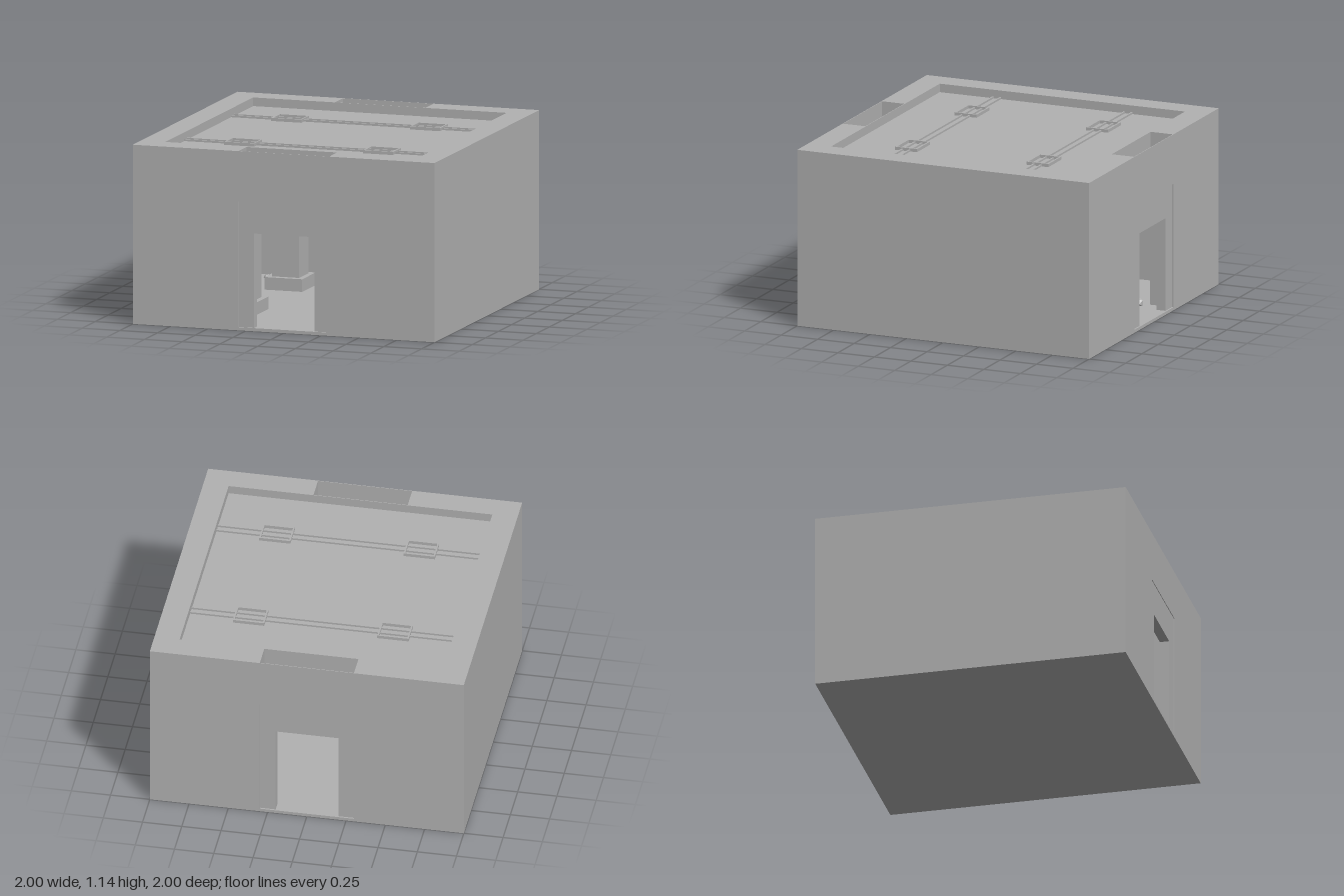
import * as THREE from 'three';

export function createModel() {
  const root = new THREE.Group();
  const concrete = new THREE.MeshStandardMaterial({ color: 0xb2b2b2 });

  const add = (name, geometry, x = 0, y = 0, z = 0, parent = root) => {
    const mesh = new THREE.Mesh(geometry, concrete);
    mesh.name = name;
    mesh.position.set(x, y, z);
    parent.add(mesh);
    return mesh;
  };
  const box = (name, w, h, d, x, y, z, parent) =>
    add(name, new THREE.BoxGeometry(w, h, d), x, y, z, parent);

  const H = 1.14, FLOOR = 0.02, INNER = 0.84, GAP = 0.3, LINTEL = 0.82, ROOF = 1.085;

  // floor slab
  box('floor', 2, FLOOR, 2, 0, FLOOR / 2, 0);

  // two C-shaped wall halves, leaving a gap for each doorway
  const plan = new THREE.Shape([
    [GAP, -1], [1, -1], [1, 1], [GAP, 1],
    [GAP, INNER], [INNER, INNER], [INNER, -INNER], [GAP, -INNER],
  ].map(([x, y]) => new THREE.Vector2(x, y)));
  const wall = new THREE.ExtrudeGeometry(plan, { depth: H - FLOOR, bevelEnabled: false });
  wall.rotateX(-Math.PI / 2);
  add('leftWall', wall, 0, FLOOR, 0);
  add('rightWall', wall, 0, FLOOR, 0).rotation.y = Math.PI;

  // roof slab sunk below the parapet
  box('roof', INNER * 2, 0.03, INNER * 2, 0, ROOF - 0.015, 0);

  // door frame outline with its opening
  const frame = new THREE.Shape([
    [-GAP, FLOOR], [-0.2, FLOOR], [-0.2, 0.62], [0.2, 0.62],
    [0.2, FLOOR], [GAP, FLOOR], [GAP, LINTEL], [-GAP, LINTEL],
  ].map(([x, y]) => new THREE.Vector2(x, y)));
  const frameGeo = new THREE.ExtrudeGeometry(frame, { depth: 0.06, bevelEnabled: false });

  // front and back doorways: thin frame, and a hollow lintel open at the top
  for (const [side, turn] of [['front', 0], ['back', Math.PI]]) {
    const door = new THREE.Group();
    door.name = side + 'Doorway';
    door.rotation.y = turn;
    root.add(door);
    add('doorFrame', frameGeo, 0, 0, 0.93, door);
    const h = H - LINTEL, y = LINTEL + h / 2;
    box('outerLintelSkin', GAP * 2, h, 0.004, 0, y, 0.998, door);
    box('innerLintelSkin', GAP * 2, h, 0.004, 0, y, INNER + 0.002, door);
  }

  // square columns on plinths, with shallow rims above them on the roof
  for (const x of [-0.46, 0.46]) {
    for (const z of [-0.45, 0.45]) {
      box('plinth', 0.25, 0.08, 0.26, x, FLOOR + 0.04, z);
      box('column', 0.18, ROOF - 0.13, 0.18, x, (ROOF + 0.07) / 2, z);
      for (const s of [-1, 1]) {
        box('roofRim', 0.2, 0.02, 0.01, x, ROOF + 0.01, z + s * 0.07);
        box('roofRim', 0.01, 0.02, 0.13, x + s * 0.095, ROOF + 0.01, z);
      }
    }
  }

  // paired ridges running across the roof
  for (const z of [-0.45, 0.45]) {
    for (const s of [-1, 1]) {
      box('roofRidge', INNER * 2, 0.012, 0.01, 0, ROOF + 0.006, z + s * 0.025);
    }
  }

  // loose stones on the floor
  for (const [x, z, r] of [[-0.256, -0.78, 0.035], [-0.71, -0.73, 0.022],
    [-0.73, -0.19, 0.022], [0.8, 0.7, 0.022], [0.68, 0.69, 0.022]]) {
    add('stone', new THREE.IcosahedronGeometry(r, 0), x, r, z);
  }
  return root;
}
